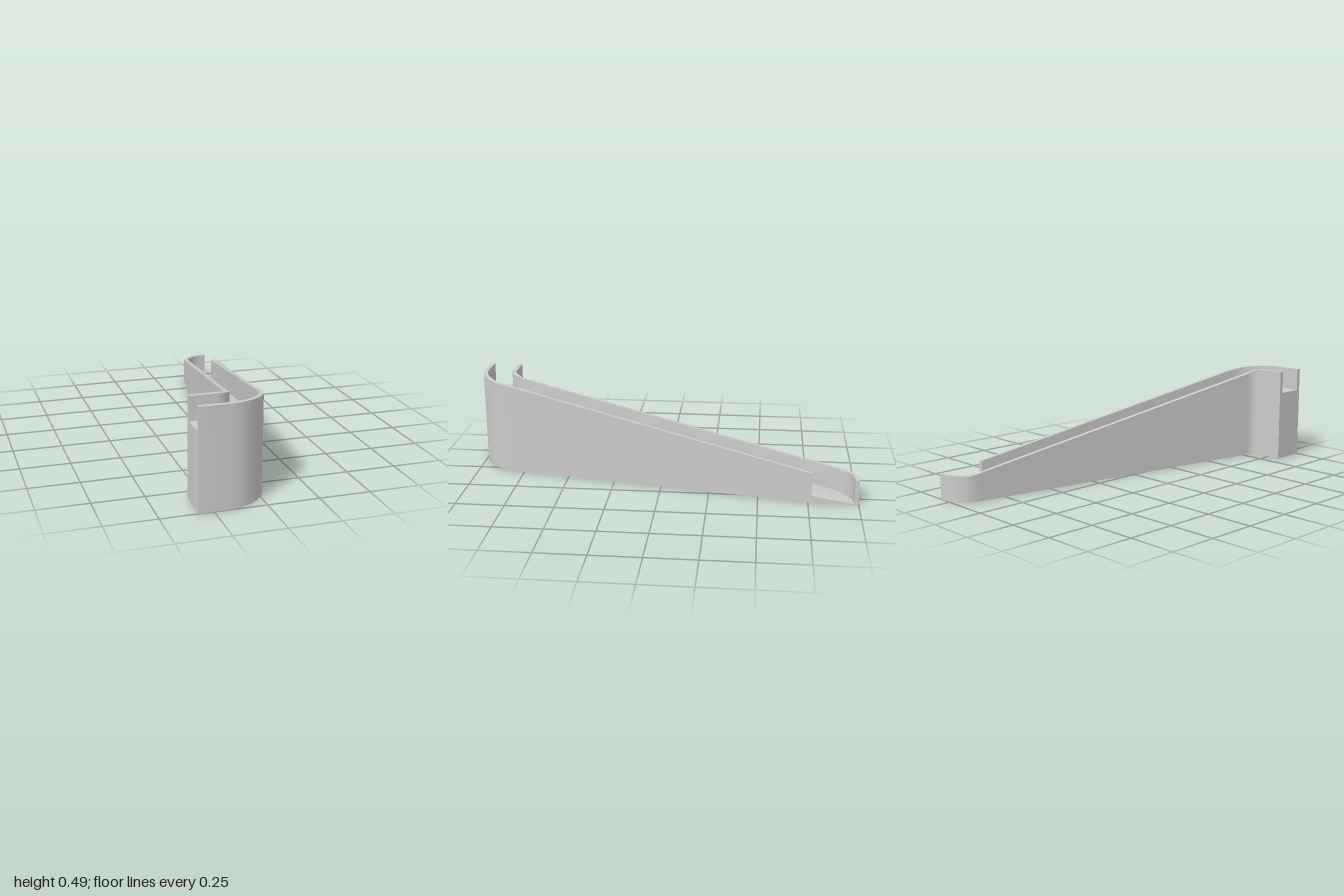
import * as THREE from 'three';
import { toCreasedNormals } from 'three/addons/utils/BufferGeometryUtils.js';

const TILT = THREE.MathUtils.degToRad(10); // long run leans 10 degrees off the z axis
const SIN = Math.sin(TILT), COS = Math.cos(TILT);
const BEND = Math.PI / 2 - TILT;
const WALL = 0.022, DEPTH = 0.118, END = 0.32;
const C1 = [-0.191, 0.765], R_IN = 0.06, R_OUT = 0.235; // front bend
const C2 = [0.299, -0.86], R_END = 0.14;                // rear bend

// Points [x, z] on an arc; angle 0 points to +z, growing towards +x
function arc([cx, cz], r, from, to, n = 16) {
  return Array.from({ length: n + 1 }, (_, i) => {
    const a = from + (to - from) * i / n;
    return [cx + r * Math.sin(a), cz + r * Math.cos(a)];
  });
}

// Height of the rim: level on the short leg, easing through the bend into a steady slope
function slope(x, z) {
  const a = Math.atan2(x - C1[0], z - C1[1]);
  const s = COS * z - SIN * x;
  if (s < COS * C1[1] - SIN * C1[0]) return 0.315 + 0.197 * s;
  const t = THREE.MathUtils.clamp(a / BEND, 0, 1);
  return 0.493 - 0.023 * t * t;
}
const rimHeight = (x, z) => Math.max(0.13, slope(x, z));
const floorHeight = (x, z) => Math.max(0.002, slope(x, z) - DEPTH);

// Upright solid on a plan outline, its top following a height rule
function solid(name, outline, height, material) {
  const shape = new THREE.Shape(outline.map(([x, z]) => new THREE.Vector2(x, -z)));
  const geo = new THREE.ExtrudeGeometry(shape, { depth: 1, bevelEnabled: false });
  geo.rotateX(-Math.PI / 2);
  const p = geo.attributes.position;
  for (let i = 0; i < p.count; i++) {
    p.setY(i, p.getY(i) > 0.5 ? height(p.getX(i), p.getZ(i)) : 0);
  }
  const mesh = new THREE.Mesh(toCreasedNormals(geo, 0.5), material);
  mesh.name = name;
  return mesh;
}

// Plan line of the front side, inset by d
function frontLine(d) {
  const edge = COS * END + SIN * -0.768 - d;
  return [
    [-END, C1[1] + R_OUT - d],
    ...arc(C1, R_OUT - d, 0, BEND),
    [(edge + SIN * 0.768) / COS, -0.768],
  ];
}

// Plan line of the back side, inset by d
function backLine(d) {
  return [
    [-END, C1[1] + R_IN + d],
    ...arc(C1, R_IN + d, 0, BEND),
    ...arc(C2, R_END - d, -Math.PI + BEND, -Math.PI),
    [END, C2[1] - R_END + d],
  ];
}

export function createModel() {
  const group = new THREE.Group();
  group.name = 'chute';
  const material = new THREE.MeshStandardMaterial({ color: 0xcccccc });

  const frontInner = frontLine(WALL), backInner = backLine(WALL);

  // Side walls
  group.add(solid('frontWall', [...frontLine(0), ...[...frontInner].reverse()], rimHeight, material));
  group.add(solid('backWall', [...backInner, ...backLine(0).reverse()], rimHeight, material));

  // Solid body whose sloping top is the channel floor, open at both ends
  group.add(solid('channelFloor',
    [...frontInner, [END, -0.768], ...[...backInner].reverse()], floorHeight, material));

  return group;
}
